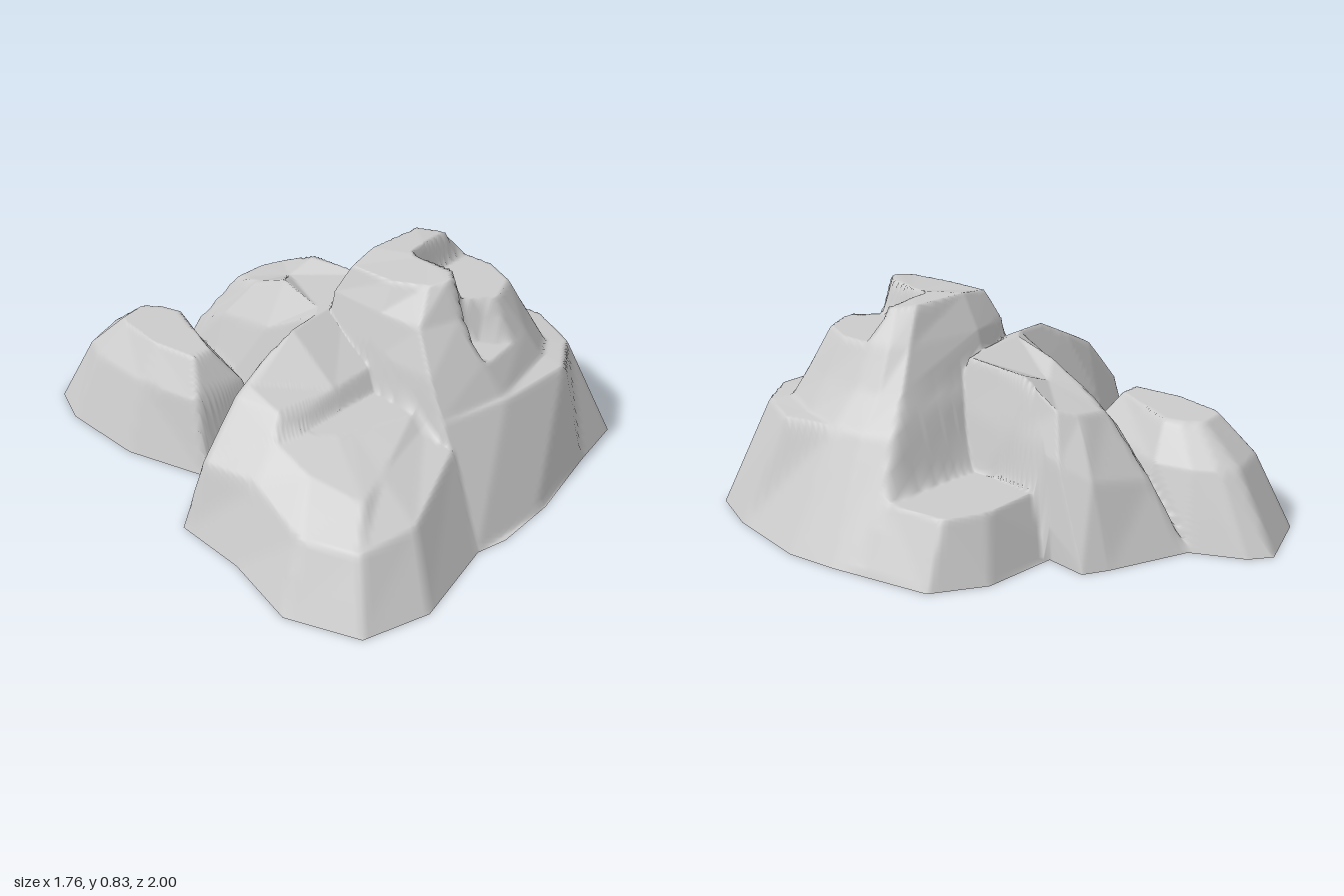
import * as THREE from 'three';

// Contours are lists of [x, z, y]; each hill is a stack of contours with a cap.
const hills = {
  peak: [
    level(0, [[-.17, .92], [.15, .94], [.52, .87], [.75, .83], [.83, .63], [.88, .3], [.85, .1], [.81, -.08], [.2, -.17], [-.2, .05], [-.22, .6]]),
    level(.42, [[-.12, .7], [.15, .77], [.47, .79], [.61, .7], [.7, .5], [.66, .3], [.63, .17], [.58, .05], [.1, .02], [-.1, .1], [-.12, .4]]),
    level(.43, [[-.12, .69], [.15, .75], [.45, .7], [.55, .64], [.62, .46], [.65, .3], [.62, .17], [.57, .05], [.1, .02], [-.1, .1], [-.12, .4]]),
    level(.55, [[-.1, .62], [.12, .68], [.4, .65], [.5, .59], [.55, .44], [.55, .28], [.53, .18], [.49, .1], [.1, .06], [-.1, .12], [-.1, .38]]),
    level(.7, [[-.05, .52], [.1, .58], [.33, .58], [.43, .54], [.48, .42], [.47, .28], [.45, .21], [.4, .15], [.1, .1], [-.06, .13], [-.06, .35]]),
    [[.04, .48, .82], [.1, .52, .83], [.2, .52, .83], [.33, .48, .83], [.38, .42, .82], [.38, .3, .82], [.37, .25, .82], [.32, .19, .83], [.1, .17, .83], [-.02, .18, .81], [-.01, .35, .81]],
  ],
  sideHill: [
    level(0, [[-.5, -.1], [-.78, .06], [-.8, .35], [-.88, .65], [-.78, .92], [-.53, 1], [-.17, .92], [.1, .6], [0, -.1]]),
    [[-.48, 0, .3], [-.72, .11, .28], [-.7, .35, .3], [-.76, .62, .24], [-.68, .82, .24], [-.46, .87, .26], [-.12, .75, .34], [.1, .6, .36], [0, 0, .4]],
    [[-.4, .1, .56], [-.55, .11, .48], [-.58, .32, .41], [-.6, .5, .37], [-.55, .72, .33], [-.42, .68, .35], [-.12, .62, .38], [.1, .55, .4], [0, .1, .63]],
    [[-.27, .12, .63], [-.5, .13, .51], [-.52, .3, .48], [-.49, .36, .42], [-.42, .48, .41], [-.36, .5, .41], [-.12, .57, .42], [.1, .5, .43], [0, .12, .63]],
  ],
  backRidge: [
    level(0, [[.33, .1], [.3, -.2], [.29, -.58], [.2, -.63], [-.1, -.75], [-.25, -.4], [-.3, -.1], [-.2, .15]]),
    [[.24, .1, .45], [.24, -.2, .4], [.24, -.42, .36], [.18, -.53, .3], [-.05, -.61, .26], [-.11, -.4, .4], [-.18, -.1, .5], [-.15, .12, .63]],
    [[.19, .06, .63], [.18, -.19, .62], [.18, -.36, .53], [.12, -.42, .51], [0, -.44, .5], [-.03, -.3, .55], [-.03, -.15, .62], [-.1, .08, .63]],
  ],
  lowShelf: [
    level(0, [[.2, -.42], [.57, -.4], [.76, -.28], [.83, 0], [.6, .2], [.2, .1]]),
    level(.235, [[.2, -.33], [.5, -.33], [.65, -.26], [.69, -.04], [.6, .1], [.2, .1]]),
  ],
  backMound: [
    level(0, [[-.52, -.1], [-.61, -.42], [-.6, -.75], [-.53, -.9], [-.28, -1], [-.2, -.94], [-.1, -.75], [-.08, -.5], [-.2, -.1]]),
    level(.28, [[-.48, -.16], [-.53, -.42], [-.52, -.68], [-.47, -.77], [-.3, -.82], [-.24, -.78], [-.18, -.69], [-.14, -.55], [-.26, -.15]]),
    level(.42, [[-.42, -.24], [-.45, -.42], [-.43, -.6], [-.41, -.64], [-.31, -.65], [-.29, -.64], [-.25, -.58], [-.23, -.52], [-.34, -.24]]),
  ],
};

// Cuts into a hill, with a flat floor and sloping walls: floor height, wall slope, floor plan.
const cuts = {
  peak: [
    [.7, 5, [[.2, .31], [.47, .3], [.52, .42], [.46, .6], [.26, .62], [.2, .5]]],  // crater
    [.54, 6, [[.12, .7], [.14, .6], [.19, .53], [.24, .57], [.32, .7]]],           // chute
  ],
  sideHill: [
    [.415, 2, [[-.48, .36], [-.1, .39], [0, .6], [-.12, .59], [-.42, .49]]],       // bench
  ],
};

// Foot of the whole rock.
const outline = [
  [-.52, -.1], [-.78, .06], [-.8, .35], [-.88, .65], [-.78, .92], [-.53, 1], [-.17, .92], [-.05, .95], [.2, .94],
  [.52, .87], [.75, .83], [.83, .63], [.88, .3], [.85, .1], [.76, -.28], [.57, -.4], [.28, -.42], [.29, -.58],
  [.2, -.63], [-.1, -.75], [-.2, -.94], [-.28, -1], [-.53, -.9], [-.6, -.75], [-.61, -.42],
];

function level(y, points) {
  return points.map(([x, z]) => [x, z, y]);
}

// Triangles of a hill: side bands, then a fan over the top.
function hillTriangles(rings) {
  const tris = [], n = rings[0].length;
  const top = rings[rings.length - 1];
  const centre = [0, 1, 2].map(k => top.reduce((s, p) => s + p[k], 0) / n);
  for (let i = 0; i < n; i++) {
    const j = (i + 1) % n;
    for (let r = 0; r + 1 < rings.length; r++) {
      const a = rings[r], b = rings[r + 1];
      tris.push([a[i], a[j], b[j]], [a[i], b[j], b[i]]);
    }
    tris.push([top[i], top[j], centre]);
  }
  return tris;
}

// Height of a triangle above a plan point, or 0 when outside it.
function triangleHeight([a, b, c], x, z) {
  const d = (b[1] - c[1]) * (a[0] - c[0]) + (c[0] - b[0]) * (a[1] - c[1]);
  if (Math.abs(d) < 1e-9) return 0;
  const u = ((b[1] - c[1]) * (x - c[0]) + (c[0] - b[0]) * (z - c[1])) / d;
  const v = ((c[1] - a[1]) * (x - c[0]) + (a[0] - c[0]) * (z - c[1])) / d;
  const w = 1 - u - v;
  return Math.min(u, v, w) < -1e-6 ? 0 : u * a[2] + v * b[2] + w * c[2];
}

// Plan distance to a polygon, 0 inside it.
function distanceTo(poly, x, z) {
  let within = false, best = Infinity;
  poly.forEach(([ax, az], i) => {
    const [bx, bz] = poly[(i + 1) % poly.length], ex = bx - ax, ez = bz - az;
    if ((az > z) !== (bz > z) && x < ax + ex * (z - az) / ez) within = !within;
    const t = THREE.MathUtils.clamp(((x - ax) * ex + (z - az) * ez) / (ex * ex + ez * ez), 0, 1);
    best = Math.min(best, Math.hypot(x - ax - ex * t, z - az - ez * t));
  });
  return within ? 0 : best;
}

export function createModel() {
  const parts = Object.entries(hills).map(([name, rings]) => ({ tris: hillTriangles(rings), cuts: cuts[name] ?? [] }));
  const heightAt = (x, z) => Math.max(...parts.map(part => {
    let h = 0;
    for (const t of part.tris) h = Math.max(h, triangleHeight(t, x, z));
    for (const [y, slope, poly] of part.cuts) if (h > y) h = Math.min(h, y + slope * distanceTo(poly, x, z));
    return h;
  }));

  // Drape one skin over the hills, in rings from the middle to the foot.
  const perEdge = 11, rings = 110, cx = -.05, cz = .1;
  const rim = [];
  outline.forEach(([ax, az], i) => {
    const [bx, bz] = outline[(i + 1) % outline.length];
    for (let k = 0; k < perEdge; k++) {
      const t = k / perEdge;
      rim.push([ax + (bx - ax) * t, az + (bz - az) * t]);
    }
  });
  const n = rim.length, position = [cx, heightAt(cx, cz), cz], index = [];
  for (let r = 1; r <= rings; r++) {
    const t = r / rings;
    rim.forEach(([rx, rz], i) => {
      const x = cx + (rx - cx) * t, z = cz + (rz - cz) * t;
      position.push(x, r === rings ? 0 : heightAt(x, z), z);
      const j = (i + 1) % n, outer = 1 + (r - 1) * n, inner = outer - n;
      if (r === 1) index.push(0, outer + i, outer + j);
      else index.push(inner + i, outer + i, outer + j, inner + i, outer + j, inner + j);
    });
  }
  const geometry = new THREE.BufferGeometry();
  geometry.setAttribute('position', new THREE.Float32BufferAttribute(position, 3));
  geometry.setIndex(index);
  geometry.computeVertexNormals();

  const rock = new THREE.Mesh(geometry, new THREE.MeshStandardMaterial({ color: 0xcccccc, side: THREE.DoubleSide }));
  rock.name = 'rockyHill';
  const model = new THREE.Group();
  model.name = 'rockFormation';
  model.add(rock);
  return model;
}
